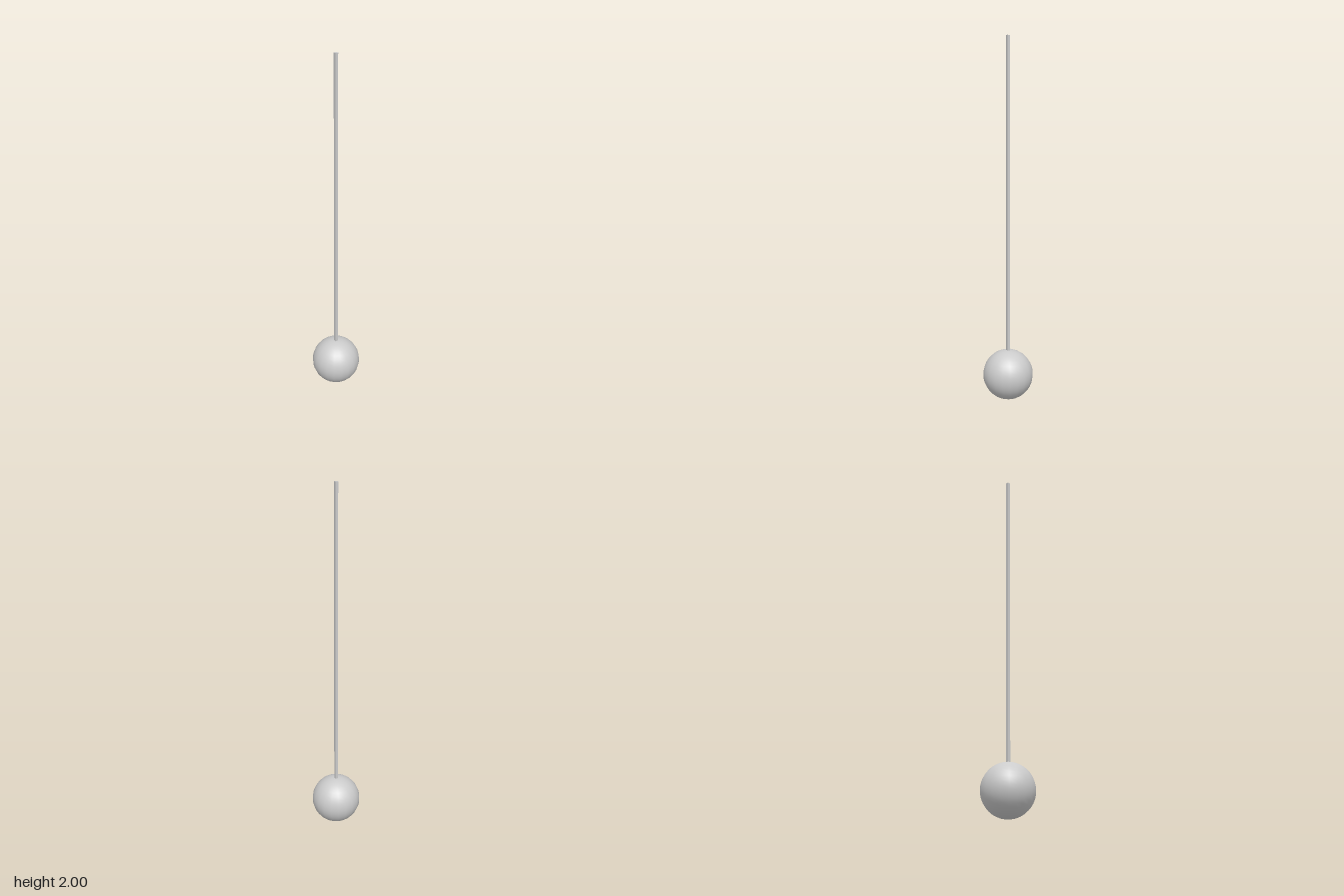
import * as THREE from 'three';

export function createModel() {
  const group = new THREE.Group();
  const material = new THREE.MeshStandardMaterial({ color: 0xcccccc });
  const radius = 0.14, height = 2, thickness = 0.016;

  // Round weight resting on the ground
  const bob = new THREE.Mesh(new THREE.SphereGeometry(radius, 20, 20), material);
  bob.name = 'bob';
  bob.position.y = radius;
  group.add(bob);

  // Slim square rod, rooted just inside the top of the weight
  const bottom = 2 * radius - 0.01;
  const rod = new THREE.Mesh(new THREE.BoxGeometry(thickness, height - bottom, thickness), material);
  rod.name = 'rod';
  rod.position.y = (height + bottom) / 2;
  group.add(rod);

  return group;
}
